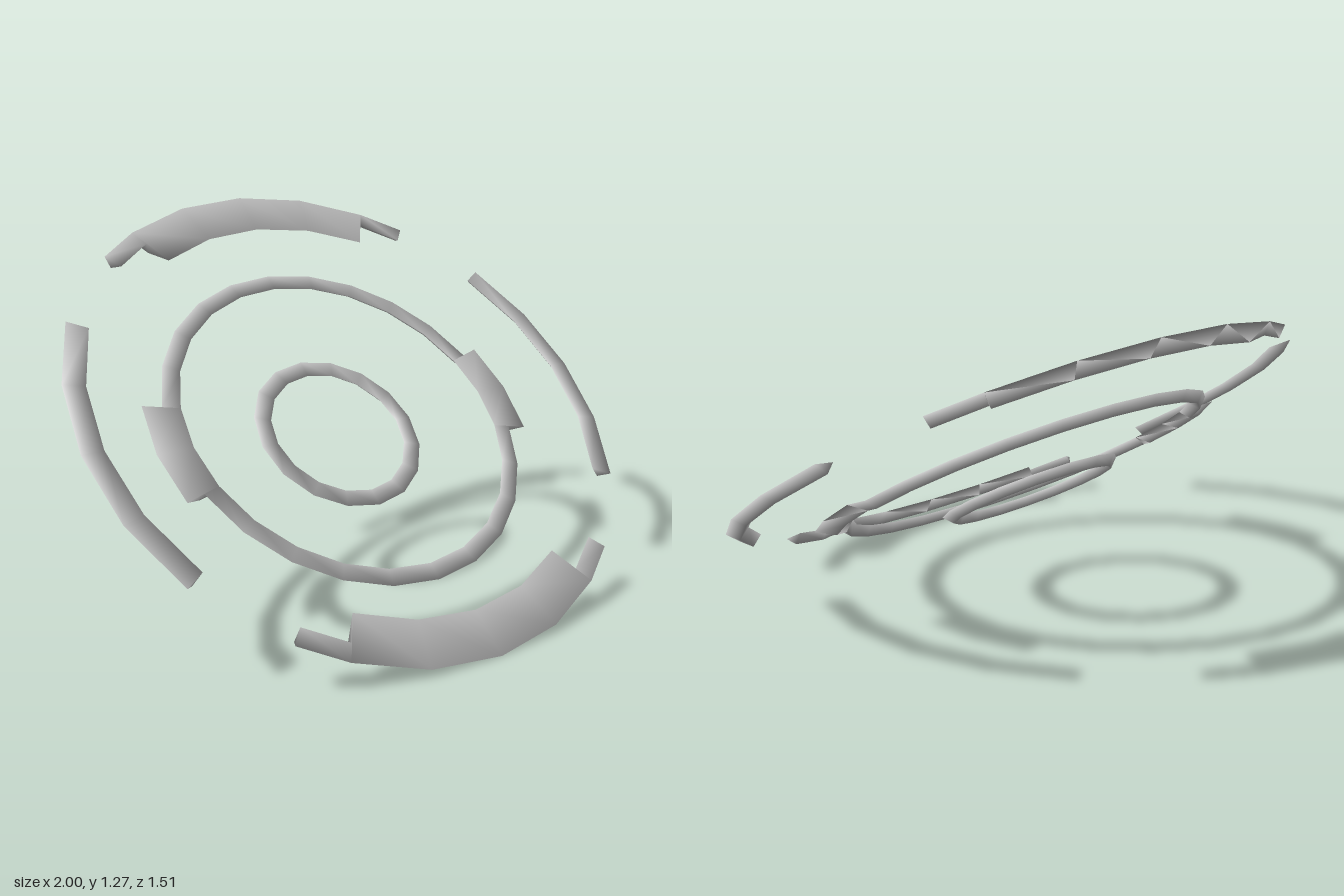
import * as THREE from 'three';
import { mergeVertices } from 'three/addons/utils/BufferGeometryUtils.js';

const DEPTH = 0.032;
const rad = THREE.MathUtils.degToRad;

// Sweeps a flat-topped triangular section through stations [degrees, innerRadius, outerRadius].
function sweep(stations, closed) {
  const pos = [];
  const index = [];
  for (const [deg, inner, outer] of stations) {
    const c = Math.cos(rad(deg)), s = Math.sin(rad(deg)), mid = (inner + outer) / 2;
    pos.push(outer * c, outer * s, 0, inner * c, inner * s, 0, mid * c, mid * s, -DEPTH);
  }
  const n = stations.length;
  for (let i = 0; i < (closed ? n : n - 1); i++) {
    const a = i * 3, b = ((i + 1) % n) * 3;
    for (let k = 0; k < 3; k++) {
      const m = (k + 1) % 3;
      index.push(a + k, b + k, a + m, a + m, b + k, b + m);
    }
  }
  if (!closed) {
    const e = (n - 1) * 3;
    index.push(0, 1, 2, e, e + 2, e + 1);
  }
  let geometry = new THREE.BufferGeometry();
  geometry.setAttribute('position', new THREE.Float32BufferAttribute(pos, 3));
  geometry.setIndex(index);
  geometry = mergeVertices(geometry, 1e-5);
  geometry.computeVertexNormals();
  return geometry;
}

export function createModel() {
  const model = new THREE.Group();
  model.name = 'tiltedRings';
  const grey = new THREE.MeshStandardMaterial({ color: 0xc0c0c0 });
  grey.name = 'grey';

  // All parts lie in parallel planes leaning back
  const tilted = new THREE.Group();
  tilted.name = 'ringAssembly';
  tilted.rotation.x = rad(-50);
  tilted.position.y = 0.635;
  model.add(tilted);

  const add = (name, geometry, height = 0, turn = 0) => {
    const mesh = new THREE.Mesh(geometry, grey);
    mesh.name = name;
    mesh.position.z = height;
    mesh.rotation.z = rad(turn);
    tilted.add(mesh);
  };

  // Small inner ring
  const small = [];
  for (let i = 0; i < 16; i++) small.push([i * 22.5, 0.252, 0.314]);
  add('innerRing', sweep(small, true), -0.166);

  // Middle ring with a wider lug on each side
  const middle = [];
  for (const base of [0, 180]) {
    for (let d = -15; d <= 15; d += 15) middle.push([base + d, 0.6, 0.73]);
    for (let d = 15; d <= 165; d += 15) middle.push([base + d, 0.6, 0.662]);
  }
  add('middleRing', sweep(middle, true), -0.083);

  // Thin outer arcs at the sides
  const side = [-30, -15, 0, 15, 30].map((d) => [d, 0.925, 1]);
  add('leftArc', sweep(side, false));
  add('rightArc', sweep(side, false), 0, 180);

  // Outer arcs at top and bottom, widened inward along their middle
  const thin = 0.922, wide = 0.823, outer = 0.987;
  const broad = [
    [-40, thin, outer], [-30, thin, outer],
    ...[-30, -15, 0, 15, 30].map((d) => [d, wide, outer]),
    [30, thin, outer], [40, thin, outer],
  ];
  add('topArc', sweep(broad, false), 0, 90);
  add('bottomArc', sweep(broad, false), 0, -90);

  return model;
}
